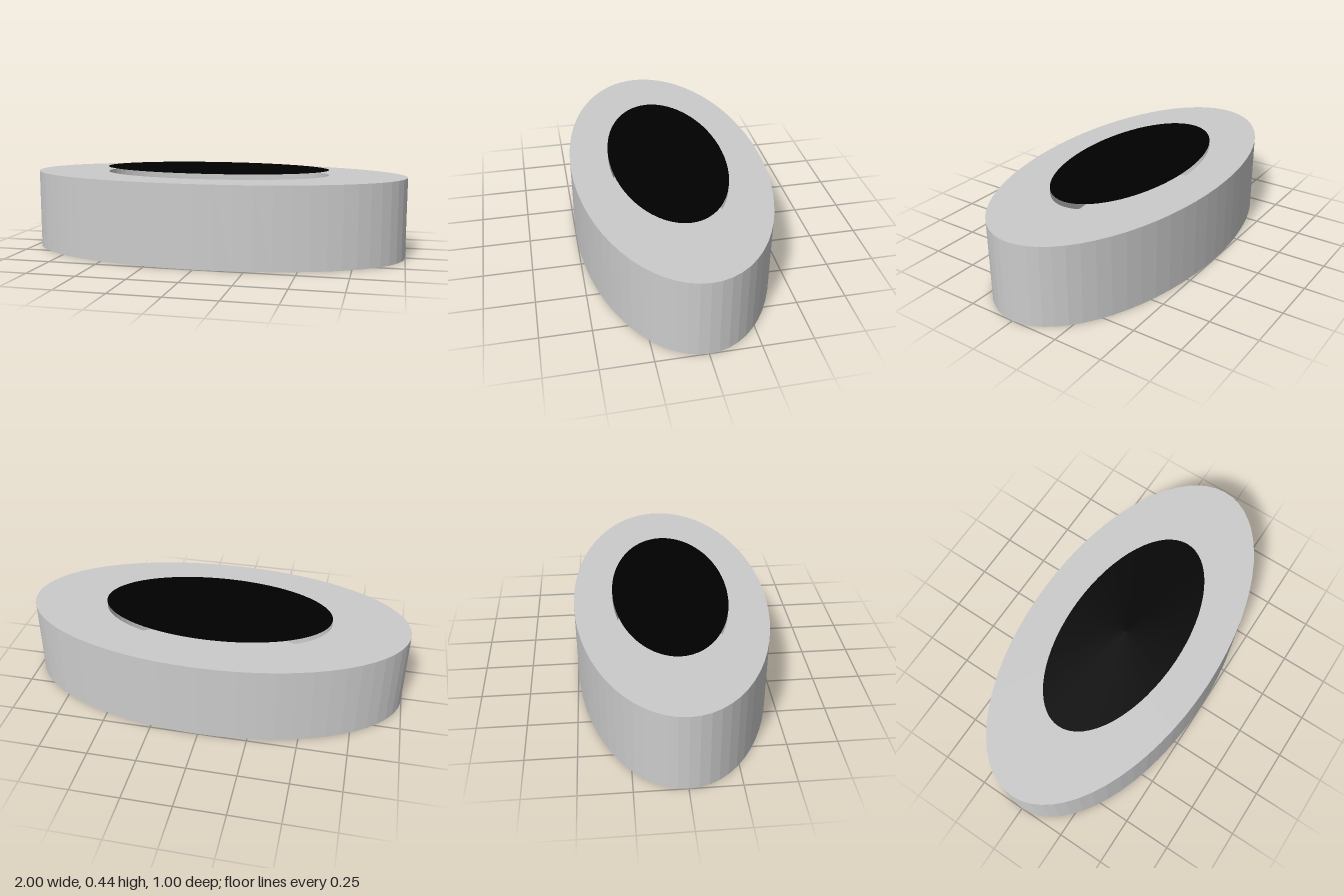
import * as THREE from 'three';

const SEGMENTS = 64;
const DEPTH_RATIO = 0.5; // the plan is an ellipse, half as deep as wide
const HEIGHT = 0.417, FLOOR = 0.111, DISC_Y = 0.444;
const OUTER = 1, INNER = 0.6;

export function createModel() {
  const group = new THREE.Group();
  group.name = 'ovalBasin';

  // Oval body: closed bottom, outer wall, flat rim, well wall and well floor
  const profile = [
    [0, 0], [OUTER, 0], [OUTER, HEIGHT], [INNER, HEIGHT], [INNER, FLOOR], [0, FLOOR],
  ].map(([r, y]) => new THREE.Vector2(r, y));
  const bodyGeometry = new THREE.LatheGeometry(profile, SEGMENTS)
    .scale(1, 1, DEPTH_RATIO)
    .toNonIndexed();
  bodyGeometry.computeVertexNormals(); // faceted wall, crisp rim edges
  const body = new THREE.Mesh(
    bodyGeometry,
    new THREE.MeshStandardMaterial({ color: 0xcccccc, flatShading: true })
  );
  body.name = 'body';
  group.add(body);

  // Thin dark surface hovering just above the well
  const discGeometry = new THREE.CircleGeometry(INNER, SEGMENTS)
    .rotateX(-Math.PI / 2)
    .scale(1, 1, DEPTH_RATIO);
  const disc = new THREE.Mesh(
    discGeometry,
    new THREE.MeshStandardMaterial({ color: 0x000000, side: THREE.DoubleSide })
  );
  disc.name = 'darkSurface';
  disc.position.y = DISC_Y;
  group.add(disc);

  return group;
}
